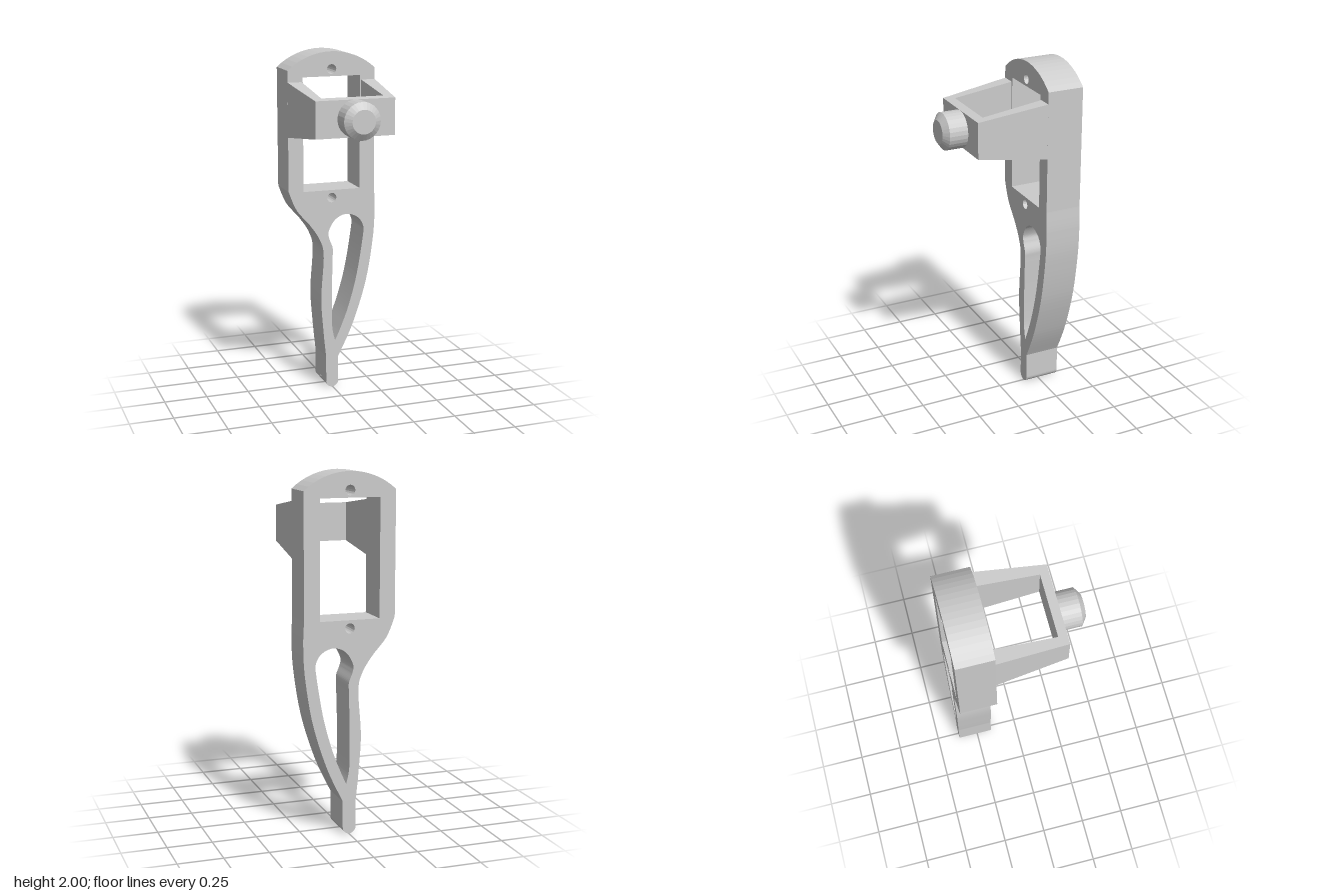
import * as THREE from 'three';

const grey = new THREE.MeshStandardMaterial({ color: 0xcccccc, flatShading: true });
const CX = -0.0025; // centre line of the frame
const BACK = -0.367, FACE = -0.16; // plate faces in z

const points = (list) => list.map(([x, y]) => new THREE.Vector2(x, y));

function add(group, name, geometry) {
  const mesh = new THREE.Mesh(geometry, grey);
  mesh.name = name;
  group.add(mesh);
  return mesh;
}

function rectangle(x0, y0, x1, y1) {
  return new THREE.Path(points([[x0, y0], [x1, y0], [x1, y1], [x0, y1], [x0, y0]]));
}

// Flat frame: domed head, window, screw holes and a curved open tail
function plateGeometry() {
  const shape = new THREE.Shape();
  shape.moveTo(-0.262, 1.9);
  shape.lineTo(-0.262, 1.21);
  shape.splineThru(points([[-0.215, 1.1], [-0.132, 1.0], [-0.075, 0.91], [-0.053, 0.81],
    [-0.069, 0.56], [-0.056, 0.35], [-0.04, 0.19]]));
  shape.lineTo(-0.04, 0.038);
  shape.absarc(CX, 0.038, 0.038, Math.PI, Math.PI * 2, false);
  shape.lineTo(0.036, 0.19);
  shape.splineThru(points([[0.127, 0.385], [0.208, 0.64], [0.252, 0.9], [0.262, 1.08], [0.257, 1.21]]));
  shape.lineTo(0.257, 1.9);
  // domed top
  const half = 0.2595, rise = 0.1, r = (half * half + rise * rise) / (2 * rise);
  const a = Math.asin(half / r);
  shape.absarc(CX, 2 - r, r, Math.PI / 2 - a, Math.PI / 2 + a, false);

  shape.holes.push(rectangle(-0.173, 1.205, 0.168, 1.86));
  for (const y of [1.9, 1.16]) {
    shape.holes.push(new THREE.Path().absarc(CX, y, 0.028, 0, Math.PI * 2, false));
  }

  // teardrop opening in the tail
  const loop = new THREE.Path();
  loop.moveTo(0.016, 0.29);
  loop.splineThru(points([[0.048, 0.36], [0.098, 0.49], [0.15, 0.68], [0.19, 0.92], [0.19, 0.98],
    [0.159, 1.03], [0.1, 1.056], [0.048, 1.047], [0.005, 1.013], [-0.023, 0.955], [-0.018, 0.915],
    [0.002, 0.86], [0.002, 0.8], [-0.003, 0.6], [-0.002, 0.385], [0.016, 0.29]]));
  shape.holes.push(loop);

  const geometry = new THREE.ExtrudeGeometry(shape, {
    depth: FACE - BACK, bevelEnabled: false, curveSegments: 8,
  });
  return geometry.translate(0, 0, BACK);
}

// U-shaped bracket: plan extruded upwards, its height shrinking towards the front
function bracketGeometry() {
  const front = 0.235, inner = 0.185, back = FACE - 0.002;
  const plan = new THREE.Shape(points([
    [-0.2595, -back], [-0.2275, -front], [0.2275, -front], [0.2595, -back],
    [0.1775, -back], [0.1775, -inner], [-0.1775, -inner], [-0.1775, -back],
  ]));
  const geometry = new THREE.ExtrudeGeometry(plan, { depth: 1, bevelEnabled: false });
  geometry.rotateX(-Math.PI / 2).translate(0, -0.5, 0);
  const p = geometry.attributes.position;
  for (let i = 0; i < p.count; i++) {
    const t = (p.getZ(i) - FACE) / (front - FACE);
    p.setY(i, p.getY(i) * THREE.MathUtils.lerp(0.31, 0.205, t));
  }
  geometry.computeVertexNormals();
  return geometry.translate(CX, 1.679, 0);
}

// Round chamfered stud pointing forwards
function studGeometry() {
  const profile = points([[0, 0.23], [0.104, 0.23], [0.104, 0.34], [0.066, 0.367], [0, 0.367]]);
  return new THREE.LatheGeometry(profile, 28).rotateX(Math.PI / 2).translate(CX, 1.678, 0);
}

export function createModel() {
  const group = new THREE.Group();
  group.name = 'leverFrame';
  add(group, 'framePlate', plateGeometry());
  add(group, 'bracket', bracketGeometry());
  add(group, 'stud', studGeometry());
  return group;
}
